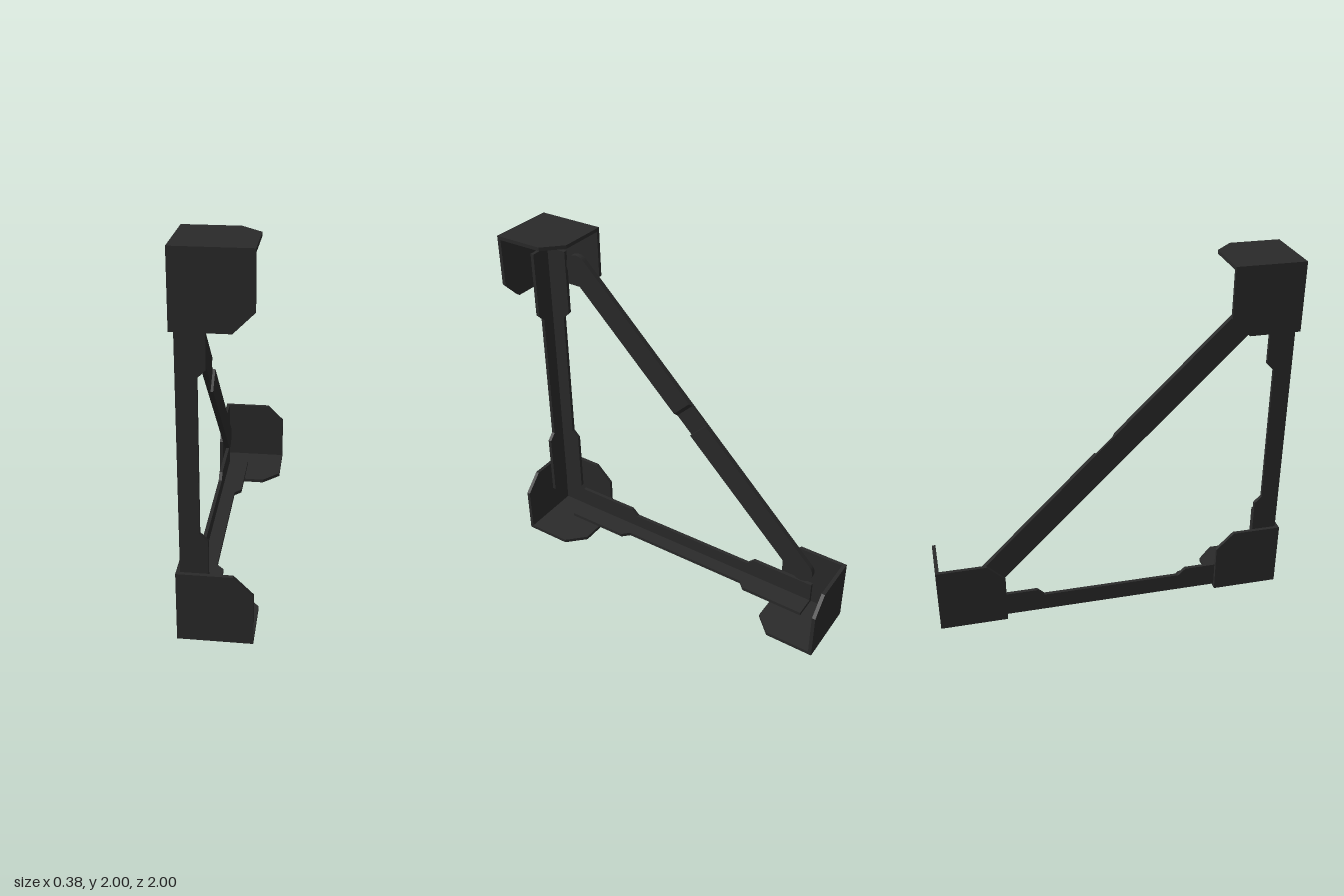
import * as THREE from 'three';

const material = new THREE.MeshStandardMaterial({ color: 0x2a2a2a, flatShading: true });
const X = new THREE.Vector3(1, 0, 0), Y = new THREE.Vector3(0, 1, 0), Z = new THREE.Vector3(0, 0, 1);

// Flat outline extruded along an axis. Outline (u, v) maps to (y, z), (z, x) or (x, y).
function plate(name, shape, thickness, axis) {
  const geo = new THREE.ExtrudeGeometry(shape, { depth: thickness, bevelEnabled: false, curveSegments: 10 });
  const m = new THREE.Matrix4();
  if (axis === 'x') m.makeBasis(Y, Z, X);
  if (axis === 'y') m.makeBasis(Z, X, Y);
  geo.applyMatrix4(m);
  const mesh = new THREE.Mesh(geo, material);
  mesh.name = name;
  return mesh;
}

const outline = pts => new THREE.Shape(pts.map(p => new THREE.Vector2(p[0], p[1])));

// Three square plates meeting in one corner, each with its free corner cut off
function cornerBracket(name) {
  const s = 0.38, c = 0.28;
  const shape = outline([[0, 0], [s, 0], [s, c], [c, s], [0, s]]);
  const group = new THREE.Group();
  group.name = name;
  for (const axis of ['x', 'y', 'z']) group.add(plate('bracketPlate', shape, 0.02, axis));
  return group;
}

// L-section beam along z whose flanges are wider near both ends
function angleBeam(name) {
  const pts = [[0, -0.82], [0.14, -0.82], [0.14, -0.44], [0.1, -0.4],
    [0.1, 0.4], [0.14, 0.44], [0.14, 0.82], [0, 0.82]];
  const group = new THREE.Group();
  group.name = name;
  group.add(plate('sideFlange', outline(pts), 0.02, 'x'));
  group.add(plate('baseFlange', outline(pts.map(([u, v]) => [v, u])), 0.02, 'y'));
  return group;
}

// Bar outline from a to b, with either end rounded
function barShape(a, b, roundA, roundB) {
  const r = 0.07, shape = new THREE.Shape();
  shape.moveTo(a, -r);
  shape.lineTo(b, -r);
  if (roundB) shape.absarc(b, 0, r, -Math.PI / 2, Math.PI / 2, false);
  else shape.lineTo(b, r);
  shape.lineTo(a, r);
  if (roundA) shape.absarc(a, 0, r, Math.PI / 2, Math.PI * 1.5, false);
  else shape.lineTo(a, -r);
  return shape;
}

// Diagonal brace: full-length back layer, front layer split by a notch with one sloped side
function diagonalBrace() {
  const end = 1.065, t = 0.015;
  const group = new THREE.Group();
  group.name = 'diagonalBrace';
  group.add(plate('braceBack', barShape(-end, end, true, true), t, 'x'));
  const upper = plate('braceUpperFront', barShape(0.09, end, false, true), t, 'x');
  const lower = plate('braceLowerFront', barShape(-end, -0.065, true, false), t, 'x');
  const ramp = plate('braceRamp', outline([[t, 0.07], [2 * t, 0.09], [t, 0.09]]), 0.14, 'z');
  ramp.position.z = -0.07;
  upper.position.x = lower.position.x = t;
  group.add(upper, lower, ramp);
  return group;
}

export function createModel() {
  const model = new THREE.Group();
  model.name = 'triangularFrame';
  const place = (part, x, y, z, turn) => {
    part.position.set(x, y, z);
    part.rotation.x = turn;
    model.add(part);
  };

  // Corner brackets, opening towards the middle of the frame
  place(cornerBracket('backBottomBracket'), -0.19, 0, -1, 0);
  place(cornerBracket('frontBottomBracket'), -0.19, 0, 1, -Math.PI / 2);
  place(cornerBracket('frontTopBracket'), -0.19, 2, 1, Math.PI);

  // Beams and brace
  place(angleBeam('bottomBeam'), -0.17, 0.02, 0, 0);
  place(angleBeam('uprightBeam'), -0.17, 1, 0.98, -Math.PI / 2);
  place(diagonalBrace(), -0.17, 1, 0, Math.PI / 4);
  return model;
}
